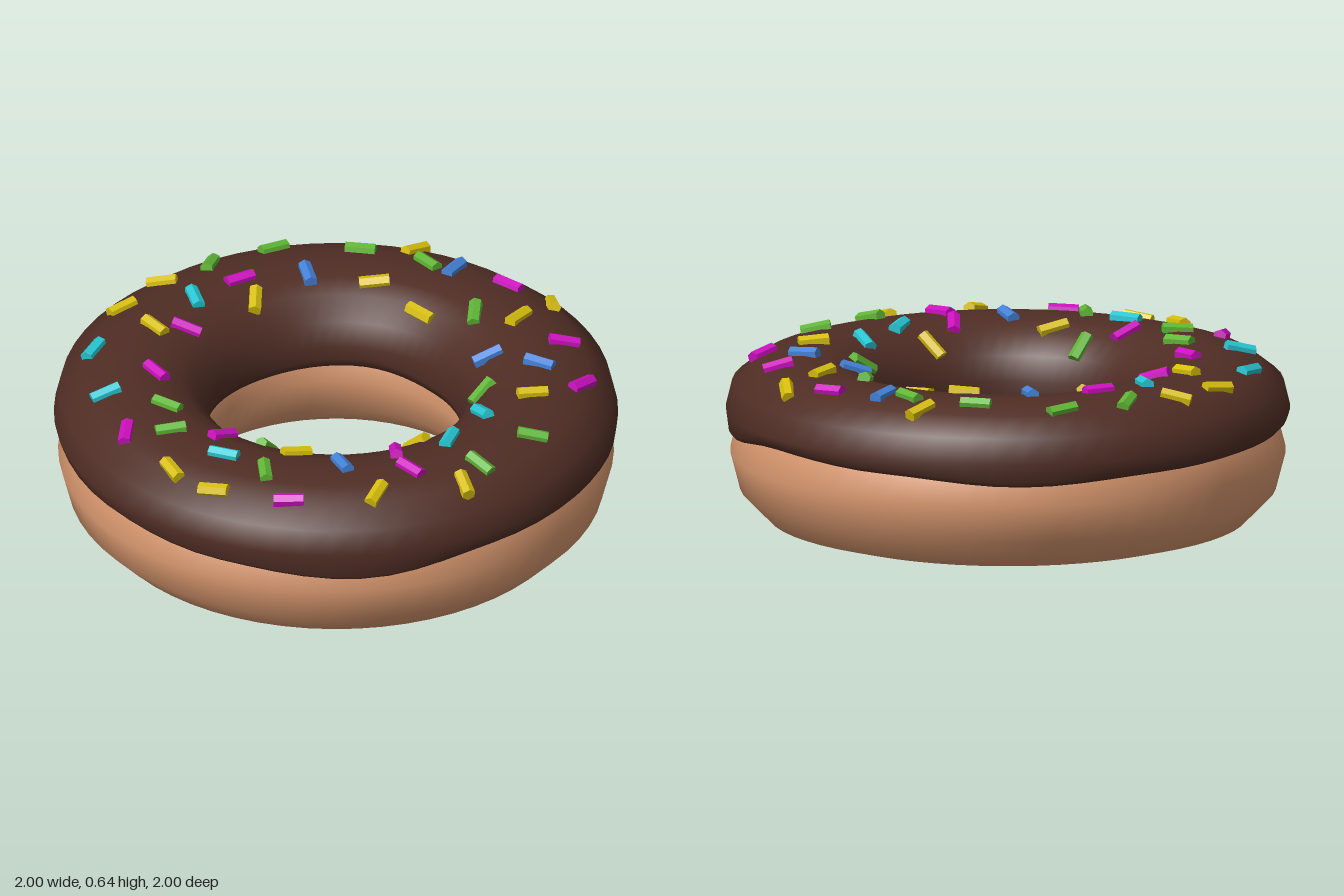
import * as THREE from 'three';

const material = (name, color) => {
  const m = new THREE.MeshStandardMaterial({ color });
  m.name = name;
  return m;
};

// Top of the icing in section, [radius, height], from outer rim to hole
const CROWN = [[1.0, 0.425], [0.978, 0.515], [0.895, 0.58], [0.81, 0.603], [0.72, 0.61],
  [0.63, 0.602], [0.55, 0.575], [0.478, 0.505], [0.453, 0.415]];

// Smooth closed wave through evenly spaced heights; t runs 0..1 round the ring
const wave = (heights) => (t) => {
  const n = heights.length, k = Math.floor(t * n);
  const s = (1 - Math.cos(Math.PI * (t * n - k))) / 2;
  return THREE.MathUtils.lerp(heights[k % n], heights[(k + 1) % n], s);
};
const outerEdge = wave([0.38, 0.33, 0.36, 0.36, 0.312, 0.34, 0.36, 0.375, 0.37, 0.36, 0.338, 0.365]);
const innerEdge = wave([0.31, 0.275, 0.285, 0.32, 0.31, 0.335, 0.325, 0.335]);

// Icing shell: the crown section swept round, with a wavy lip on both rims
function icingGeometry(segments = 60) {
  const positions = [], index = [];
  const rows = CROWN.length + 6;
  for (let i = 0; i < segments; i++) {
    const t = i / segments, a = t * Math.PI * 2;
    const lo = outerEdge(t), li = innerEdge(t);
    const section = [[0.93, lo + 0.005], [0.972, lo], [0.99, lo + 0.018], ...CROWN,
      [0.455, li + 0.03], [0.463, li], [0.49, li + 0.005]];
    for (const [r, y] of section) positions.push(r * Math.cos(a), y, r * Math.sin(a));
    for (let j = 0; j < rows - 1; j++) {
      const p = i * rows + j, q = ((i + 1) % segments) * rows + j;
      index.push(p, p + 1, q, q, p + 1, q + 1);
    }
  }
  const g = new THREE.BufferGeometry();
  g.setAttribute('position', new THREE.Float32BufferAttribute(positions, 3));
  g.setIndex(index);
  g.computeVertexNormals();
  return g;
}

// Height and slope of the icing at a radius
function crownAt(r) {
  let k = 0;
  while (k < CROWN.length - 2 && CROWN[k + 1][0] > r) k++;
  const [r0, y0] = CROWN[k], [r1, y1] = CROWN[k + 1];
  const slope = (y1 - y0) / (r1 - r0);
  return { y: y0 + slope * (r - r0), slope };
}

// Sprinkle spots by colour: [x, z]
const SPRINKLES = {
  yellow: [[-0.37, -0.79], [-0.155, -0.85], [-0.37, -0.59], [0.05, -0.57], [0.71, -0.52], [0.455, -0.41],
    [0.5, -0.19], [0.9, 0.05], [0.72, 0.1], [0.46, 0.555], [-0.015, 0.52], [-0.07, 0.89],
    [-0.37, 0.775], [-0.44, 0.38], [-0.81, 0.4], [-0.86, 0.215]],
  green: [[0.05, -0.845], [0.3, -0.81], [0.535, -0.61], [0.675, -0.395], [0.62, -0.025], [0.375, 0.37],
    [0.305, 0.775], [0.04, 0.83], [-0.62, 0.445], [-0.46, 0.23], [-0.73, 0.02], [-0.64, -0.13]],
  cyan: [[-0.14, -0.67], [-0.62, -0.61], [-0.765, -0.33], [-0.675, 0.27], [0.255, 0.54], [0.045, 0.635]],
  magenta: [[0.065, -0.685], [-0.27, -0.54], [-0.54, -0.34], [-0.855, -0.075], [-0.59, 0.14],
    [-0.64, 0.62], [-0.19, 0.73], [-0.155, 0.59], [0.66, 0.575], [0.765, 0.315], [0.83, -0.12]],
  blue: [[0.285, -0.58], [0.73, -0.31], [0.51, 0.21], [0.6, 0.4], [-0.37, 0.565]],
};
const COLORS = { yellow: 0xd6be0e, green: 0x5fb535, cyan: 0x27c6d2, magenta: 0xcc10be, blue: 0x4382d9 };
const TURN = Math.PI * (3 - Math.sqrt(5)); // golden angle scatters the headings

// Lay a sprinkle flat on the icing at x, z, pointing along a heading
function laySprinkle(sprinkle, x, z, heading) {
  const r = Math.hypot(x, z);
  const { y, slope } = crownAt(r);
  const normal = new THREE.Vector3(-slope * x / r, 1, -slope * z / r).normalize();
  const along = new THREE.Vector3(Math.cos(heading), 0, -Math.sin(heading));
  along.y = slope * (along.x * x + along.z * z) / r;
  along.normalize();
  const side = new THREE.Vector3().crossVectors(along, normal);
  sprinkle.quaternion.setFromRotationMatrix(new THREE.Matrix4().makeBasis(side, along, normal));
  sprinkle.position.set(x, y, z).addScaledVector(normal, 0.003);
}

export function createModel() {
  const model = new THREE.Group();
  model.name = 'donut';

  // Dough ring
  const doughGeometry = new THREE.TorusGeometry(0.723, 0.262, 12, 60);
  doughGeometry.rotateX(-Math.PI / 2);
  doughGeometry.scale(1, 0.27 / 0.262, 1);
  doughGeometry.translate(0, 0.27, 0);
  const dough = new THREE.Mesh(doughGeometry, material('dough', 0xd9986f));
  dough.name = 'dough';
  model.add(dough);

  // Icing
  const icing = new THREE.Mesh(icingGeometry(), material('chocolate', 0x4f2d24));
  icing.name = 'icing';
  model.add(icing);

  // Sprinkles
  const rod = new THREE.CylinderGeometry(0.025, 0.025, 0.108, 6).toNonIndexed();
  rod.computeVertexNormals();
  let count = 0;
  for (const [name, spots] of Object.entries(SPRINKLES)) {
    const group = new THREE.Group();
    group.name = `${name}Sprinkles`;
    const mat = material(name, COLORS[name]);
    for (const [x, z] of spots) {
      const sprinkle = new THREE.Mesh(rod, mat);
      sprinkle.name = 'sprinkle';
      laySprinkle(sprinkle, x, z, TURN * count++);
      group.add(sprinkle);
    }
    model.add(group);
  }
  return model;
}
